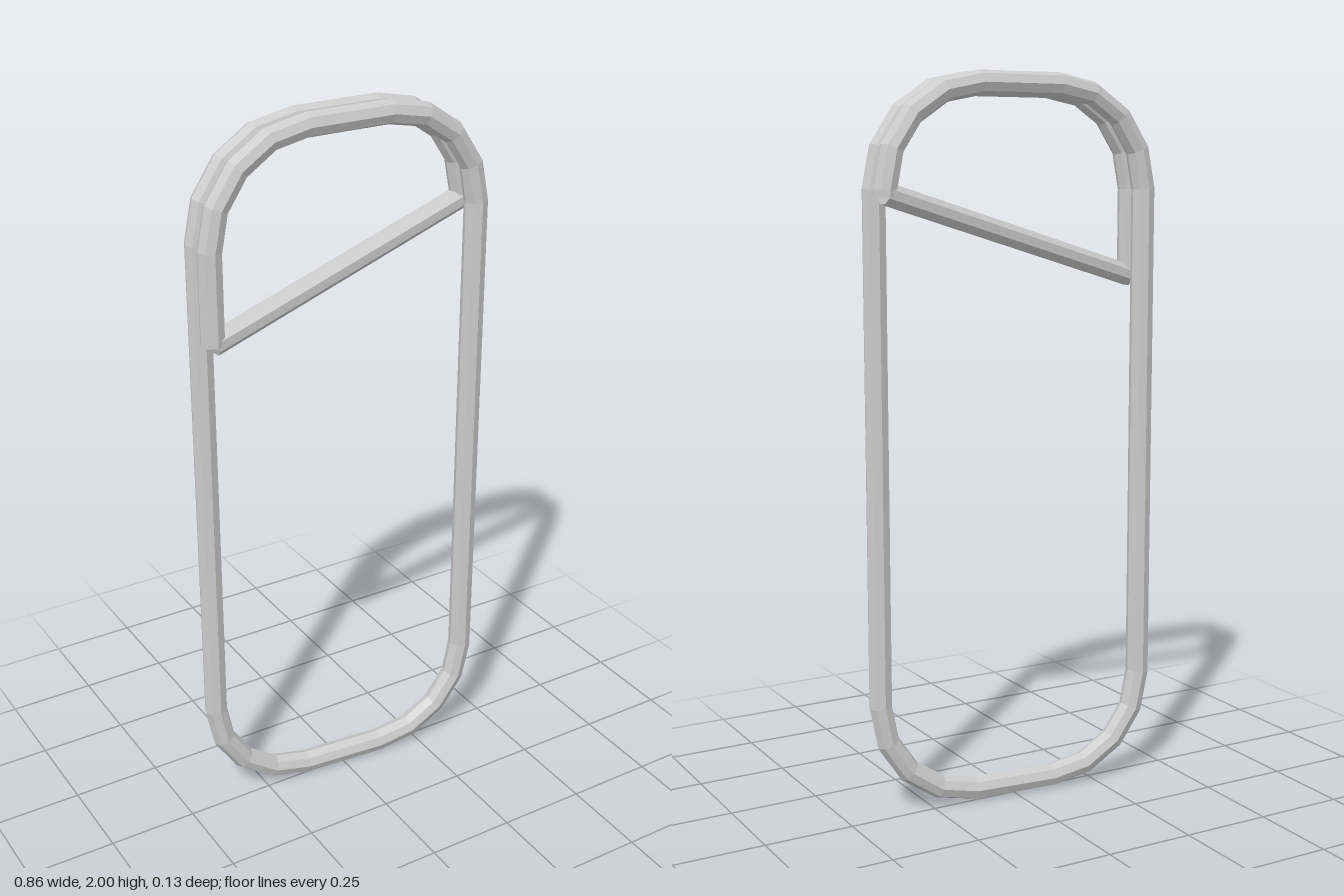
import * as THREE from 'three';

const HALF = 0.395;   // half width at wire centre
const DEPTH = 0.034;  // offset of the front and back strands
const R = 0.0325;     // wire radius
const BEND = 0.275;   // corner radius
const TOP = 2 - R - BEND, BOTTOM = R + BEND;
const SIDES = 8;

const material = new THREE.MeshStandardMaterial({ color: 0xcccccc, flatShading: true });

// Eight-sided wire with flat ends, swept along a list of points
function wire(name, pts, radius, phase) {
  const pos = [], index = [];
  const zAxis = new THREE.Vector3(0, 0, 1);
  const last = pts.length - 1;
  pts.forEach((p, i) => {
    const t = new THREE.Vector3();
    if (i > 0) t.add(p.clone().sub(pts[i - 1]).normalize());
    if (i < last) t.add(pts[i + 1].clone().sub(p).normalize());
    t.normalize();
    const side = t.clone().cross(zAxis).normalize();
    const up = t.clone().cross(side);
    for (let k = 0; k < SIDES; k++) {
      const a = (k / SIDES) * Math.PI * 2 + phase;
      const v = p.clone()
        .addScaledVector(side, Math.cos(a) * radius)
        .addScaledVector(up, Math.sin(a) * radius);
      pos.push(v.x, v.y, v.z);
    }
  });
  for (let i = 0; i < last; i++) {
    for (let k = 0; k < SIDES; k++) {
      const a = i * SIDES + k, b = i * SIDES + (k + 1) % SIDES;
      index.push(a, b, a + SIDES, b, b + SIDES, a + SIDES);
    }
  }
  // end caps
  const e = last * SIDES;
  for (let k = 1; k < SIDES - 1; k++) index.push(0, k + 1, k, e, e + k, e + k + 1);

  const geo = new THREE.BufferGeometry();
  geo.setAttribute('position', new THREE.Float32BufferAttribute(pos, 3));
  geo.setIndex(index);
  geo.computeVertexNormals();
  const mesh = new THREE.Mesh(geo, material);
  mesh.name = name;
  return mesh;
}

// One rounded corner in four steps, clockwise from a start angle in degrees
function corner(cx, cy, startDeg, depthAt) {
  return Array.from({ length: 5 }, (_, i) => {
    const a = THREE.MathUtils.degToRad(startDeg - i * 22.5);
    const x = cx + BEND * Math.cos(a);
    return new THREE.Vector3(x, cy + BEND * Math.sin(a), depthAt(x));
  });
}

export function createModel() {
  const group = new THREE.Group();
  group.name = 'wireClip';

  const cx = HALF - BEND;
  const arch = (z) => [
    ...corner(-cx, TOP, 180, () => z),
    ...corner(cx, TOP, 90, () => z),
  ];
  const slant = (x) => (DEPTH * x) / HALF;

  const start = new THREE.Vector3(-HALF, 1.45, DEPTH);
  const end = new THREE.Vector3(HALF, 1.675, -DEPTH);

  // Front arch, slanting bottom bend, then the back arch in one winding
  const loop = [
    start,
    ...arch(DEPTH),
    ...corner(cx, BOTTOM, 0, slant),
    ...corner(-cx, BOTTOM, -90, slant),
    ...arch(-DEPTH),
    end,
  ];
  group.add(wire('woundLoop', loop, R, 0));

  // Straight bar joining the two free ends
  group.add(wire('crossBar', [start.clone(), end.clone().setY(1.685)], 0.031, Math.PI / 8));
  return group;
}
